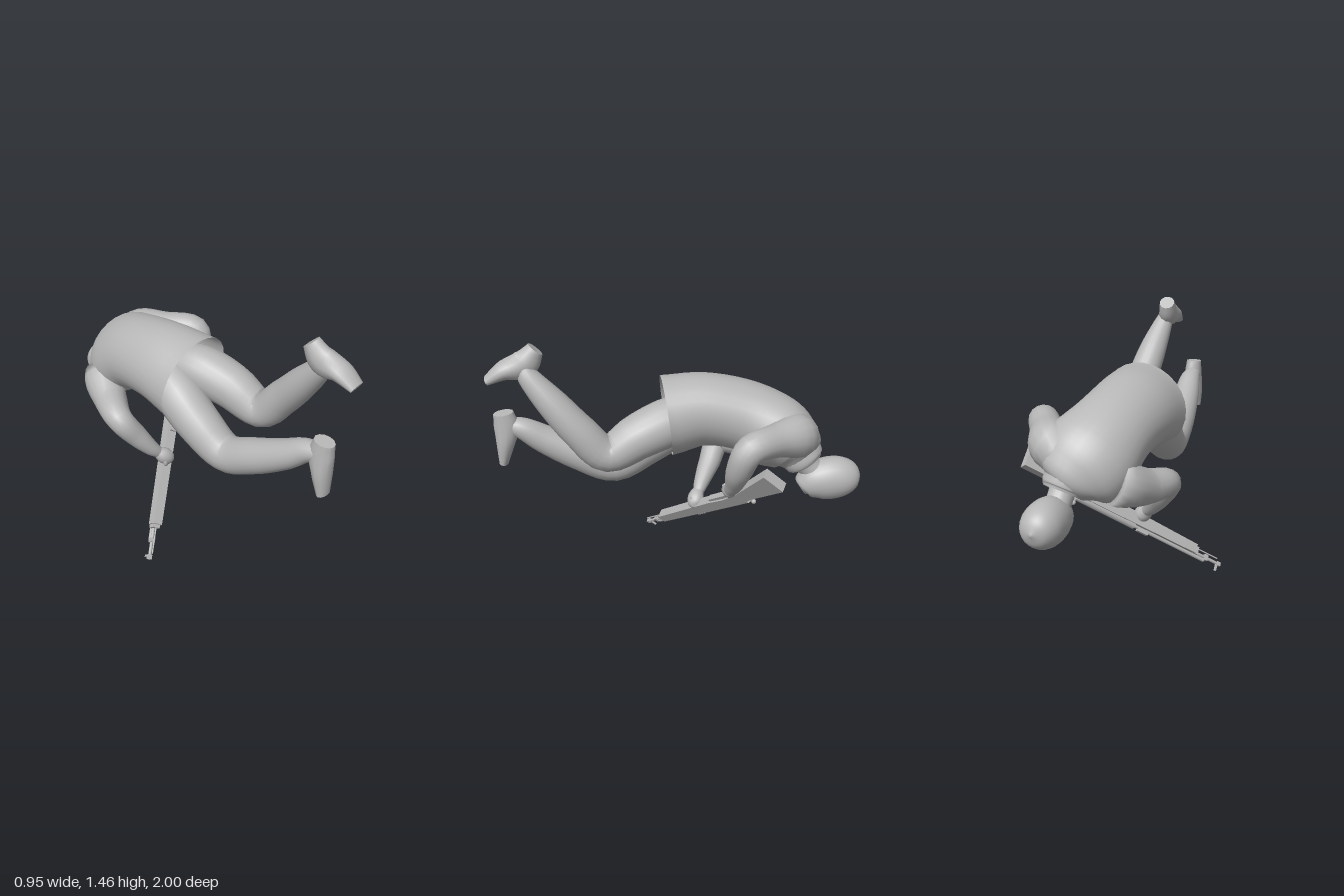
import * as THREE from 'three';

const grey = new THREE.MeshStandardMaterial({ color: 0xb8b8b8, side: THREE.DoubleSide });
grey.name = 'plain grey';

function mesh(name, geometry) {
  const m = new THREE.Mesh(geometry, grey);
  m.name = name;
  return m;
}

// Loft of elliptical rings. Each section: [x, y, z, halfWidth, halfHeight, roll]
function loft(name, sections, { ref = [1, 0, 0], steps = 5, sides = 20, capStart = true, capEnd = true } = {}) {
  const path = new THREE.CatmullRomCurve3(sections.map(s => new THREE.Vector3(s[0], s[1], s[2])), false, 'catmullrom');
  const size = new THREE.CatmullRomCurve3(sections.map(s => new THREE.Vector3(s[3], s[4] ?? s[3], s[5] ?? 0)), false, 'catmullrom');
  const rings = (sections.length - 1) * steps;
  const pos = [], index = [], centres = [];
  const refV = new THREE.Vector3(...ref);
  for (let i = 0; i <= rings; i++) {
    const c = path.getPoint(i / rings), r = size.getPoint(i / rings), t = path.getTangent(i / rings);
    const side = refV.clone().addScaledVector(t, -refV.dot(t)).normalize();
    const up = side.clone().cross(t);
    centres.push(c);
    for (let j = 0; j < sides; j++) {
      const q = (j / sides) * Math.PI * 2;
      const u = Math.max(r.x, 0.001) * Math.cos(q), v = Math.max(r.y, 0.001) * Math.sin(q);
      const cr = Math.cos(r.z), sr = Math.sin(r.z);
      const p = c.clone().addScaledVector(side, u * cr - v * sr).addScaledVector(up, u * sr + v * cr);
      pos.push(p.x, p.y, p.z);
    }
  }
  for (let i = 0; i < rings; i++) {
    for (let j = 0; j < sides; j++) {
      const a = i * sides + j, b = i * sides + (j + 1) % sides;
      index.push(a, a + sides, b, b, a + sides, b + sides);
    }
  }
  const cap = (ring, flip) => {
    const base = pos.length / 3;
    for (let k = 0; k < sides * 3; k++) pos.push(pos[ring * sides * 3 + k]);
    pos.push(...centres[ring].toArray());
    for (let j = 0; j < sides; j++) {
      const a = base + j, b = base + (j + 1) % sides;
      index.push(base + sides, flip ? b : a, flip ? a : b);
    }
  };
  if (capStart) cap(0, false);
  if (capEnd) cap(rings, true);
  const g = new THREE.BufferGeometry();
  g.setAttribute('position', new THREE.Float32BufferAttribute(pos, 3));
  g.setIndex(index);
  g.computeVertexNormals();
  return mesh(name, g);
}

function makeBody() {
  const body = new THREE.Group();
  body.name = 'body';
  // Jacket, open at the hem and rolled towards the right shoulder
  body.add(loft('jacket', [
    [-0.022, 0.99, 0.07, 0.25, 0.22, 0.65],
    [-0.027, 1.015, -0.14, 0.228, 0.2, 0.6],
    [0.0, 0.975, -0.37, 0.222, 0.195, 0.5],
    [0.05, 0.885, -0.54, 0.25, 0.2, 0.5],
    [0.1, 0.82, -0.63, 0.21, 0.155, 0.5],
    [0.13, 0.77, -0.67, 0.115, 0.11, 0.4]], { capStart: false, sides: 28 }));
  body.add(loft('collar', [
    [0.12, 0.8, -0.655, 0.12, 0.12], [0.13, 0.765, -0.672, 0.115, 0.115], [0.135, 0.745, -0.685, 0.1, 0.1]], { capEnd: false }));
  body.add(loft('neck', [
    [0.13, 0.8, -0.65, 0.075], [0.135, 0.73, -0.7, 0.066], [0.145, 0.65, -0.77, 0.07]]));
  body.add(loft('head', [
    [0.15, 0.592, -0.668, 0.045, 0.045], [0.15, 0.608, -0.69, 0.075, 0.08], [0.15, 0.633, -0.75, 0.098, 0.112],
    [0.15, 0.645, -0.83, 0.108, 0.124], [0.15, 0.65, -0.91, 0.102, 0.11], [0.15, 0.652, -0.97, 0.068, 0.07],
    [0.15, 0.652, -1.0, 0.004, 0.004]], { sides: 24 }));
  return body;
}

function makeLegs() {
  const legs = new THREE.Group();
  legs.name = 'legs';
  legs.add(loft('leftLeg', [
    [0.03, 1.0, -0.1, 0.11], [0.07, 1.0, 0.04, 0.132], [0.12, 0.945, 0.22, 0.125], [0.155, 0.865, 0.4, 0.1],
    [0.16, 1.0, 0.535, 0.093], [0.14, 1.15, 0.66, 0.082], [0.115, 1.28, 0.765, 0.06], [0.1, 1.34, 0.8, 0.045]]));
  legs.add(loft('rightLeg', [
    [-0.06, 0.97, -0.12, 0.12], [-0.085, 0.89, 0.03, 0.13], [-0.09, 0.785, 0.18, 0.12], [-0.075, 0.68, 0.36, 0.103],
    [-0.07, 0.755, 0.55, 0.096], [-0.06, 0.855, 0.73, 0.08], [-0.05, 0.93, 0.84, 0.063], [-0.05, 0.96, 0.92, 0.045]]));
  // Shoes, from heel to toe
  legs.add(loft('leftShoe', [
    [0.075, 1.435, 0.735, 0.045, 0.045], [0.085, 1.36, 0.8, 0.058, 0.075],
    [0.095, 1.335, 0.9, 0.065, 0.05], [0.1, 1.285, 0.99, 0.05, 0.022]], { sides: 12 }));
  legs.add(loft('rightShoe', [
    [-0.045, 1.035, 0.945, 0.045, 0.055], [-0.045, 0.95, 0.935, 0.053, 0.068],
    [-0.045, 0.85, 0.95, 0.058, 0.05], [-0.045, 0.735, 0.97, 0.045, 0.026]], { sides: 12 }));
  return legs;
}

function makeArms() {
  const arms = new THREE.Group();
  arms.name = 'arms';
  const left = { ref: [1, 0, -0.6], sides: 16 }, right = { ref: [1, 0.5, -0.3], sides: 16 };
  arms.add(loft('leftArm', [
    [0.09, 0.87, -0.6, 0.07], [0.205, 0.945, -0.61, 0.12], [0.31, 0.975, -0.47, 0.09], [0.4, 0.975, -0.325, 0.08],
    [0.375, 0.85, -0.275, 0.07], [0.31, 0.73, -0.262, 0.05], [0.265, 0.665, -0.25, 0.036]], left));
  arms.add(loft('rightArm', [
    [0.0, 0.83, -0.55, 0.07], [-0.11, 0.785, -0.565, 0.118], [-0.2, 0.72, -0.42, 0.096], [-0.27, 0.69, -0.265, 0.074],
    [-0.21, 0.58, -0.2, 0.063], [-0.15, 0.49, -0.15, 0.046], [-0.11, 0.445, -0.125, 0.033]], right));
  arms.add(loft('leftHand', [
    [0.275, 0.675, -0.25, 0.028], [0.24, 0.645, -0.25, 0.038], [0.2, 0.635, -0.255, 0.036], [0.165, 0.635, -0.265, 0.02]], left));
  arms.add(loft('rightHand', [
    [-0.12, 0.455, -0.13, 0.028], [-0.09, 0.425, -0.11, 0.046], [-0.06, 0.395, -0.1, 0.044], [-0.04, 0.375, -0.1, 0.022]], right));
  // Fingers curling over the weapon
  for (let i = 0; i < 3; i++) {
    const k = i * 0.022;
    arms.add(loft('leftFinger', [
      [0.2 - k, 0.66 - k * 0.6, -0.235, 0.013], [0.175 - k * 0.6, 0.635 - k, -0.235, 0.013], [0.165 - k * 0.3, 0.6 - k * 0.4, -0.26, 0.009]],
    { ref: [0, 0, 1], sides: 8, steps: 3 }));
    arms.add(loft('rightFinger', [
      [-0.1 + k, 0.42 + k * 0.4, -0.085, 0.014], [-0.1 + k, 0.385 + k * 0.5, -0.075, 0.014], [-0.085 + k, 0.36 + k * 0.5, -0.09, 0.01]],
    { ref: [1, 0, 0], sides: 8, steps: 3 }));
  }
  return arms;
}

// Rifle: local x runs from muzzle to butt, local y is the sight side
function makeRifle() {
  const rifle = new THREE.Group();
  rifle.name = 'rifle';
  const box = (name, x, y, z, w, h, d) => {
    const m = mesh(name, new THREE.BoxGeometry(w, h, d));
    m.position.set(x, y, z);
    rifle.add(m);
  };
  const rod = (name, x0, x1, y, r) => {
    const m = mesh(name, new THREE.CylinderGeometry(r, r, x1 - x0, 10));
    m.rotation.z = Math.PI / 2;
    m.position.set((x0 + x1) / 2, y, 0);
    rifle.add(m);
  };
  const profile = [[0.2, -0.042], [0.75, -0.055], [0.88, -0.05], [1.0, -0.06], [1.345, -0.14],
    [1.345, 0], [1.08, 0.0], [0.98, 0.018], [0.2, 0.012]].map(p => new THREE.Vector2(...p));
  const stock = new THREE.ExtrudeGeometry(new THREE.Shape(profile), { depth: 0.056, bevelEnabled: false });
  stock.translate(0, 0, -0.028);
  rifle.add(mesh('stock', stock));
  rod('barrel', 0, 0.3, 0, 0.009);
  rod('gasTube', 0.12, 0.62, 0.02, 0.011);
  rod('cleaningRod', 0.03, 0.22, -0.028, 0.004);
  rod('receiver', 0.62, 1.02, 0.018, 0.022);
  box('muzzleCollar', 0.015, 0, 0, 0.025, 0.022, 0.022);
  box('frontSight', 0.025, 0.026, 0, 0.012, 0.042, 0.01);
  box('barrelBand', 0.11, 0, 0, 0.022, 0.034, 0.024);
  box('handguardBand', 0.195, -0.01, 0, 0.03, 0.046, 0.042);
  box('rearSight', 0.56, 0.03, 0, 0.07, 0.022, 0.022);
  box('magazine', 0.85, -0.055, 0, 0.17, 0.03, 0.035);
  box('triggerGuard', 0.98, -0.075, 0, 0.06, 0.01, 0.02);
  box('boltStem', 1.015, 0.035, 0.012, 0.012, 0.05, 0.012);
  const knob = mesh('boltKnob', new THREE.SphereGeometry(0.014, 10, 8));
  knob.position.set(1.015, 0.062, 0.012);
  rifle.add(knob);

  const x = new THREE.Vector3(0.927, 0.757, -0.667).normalize();
  const y = new THREE.Vector3(0, -0.667, -0.757).normalize();
  rifle.quaternion.setFromRotationMatrix(new THREE.Matrix4().makeBasis(x, y, x.clone().cross(y)));
  rifle.position.set(-0.464, 0.028, 0.155);
  return rifle;
}

export function createModel() {
  const model = new THREE.Group();
  model.name = 'crouchingFigure';
  model.add(makeBody(), makeLegs(), makeArms(), makeRifle());
  return model;
}
